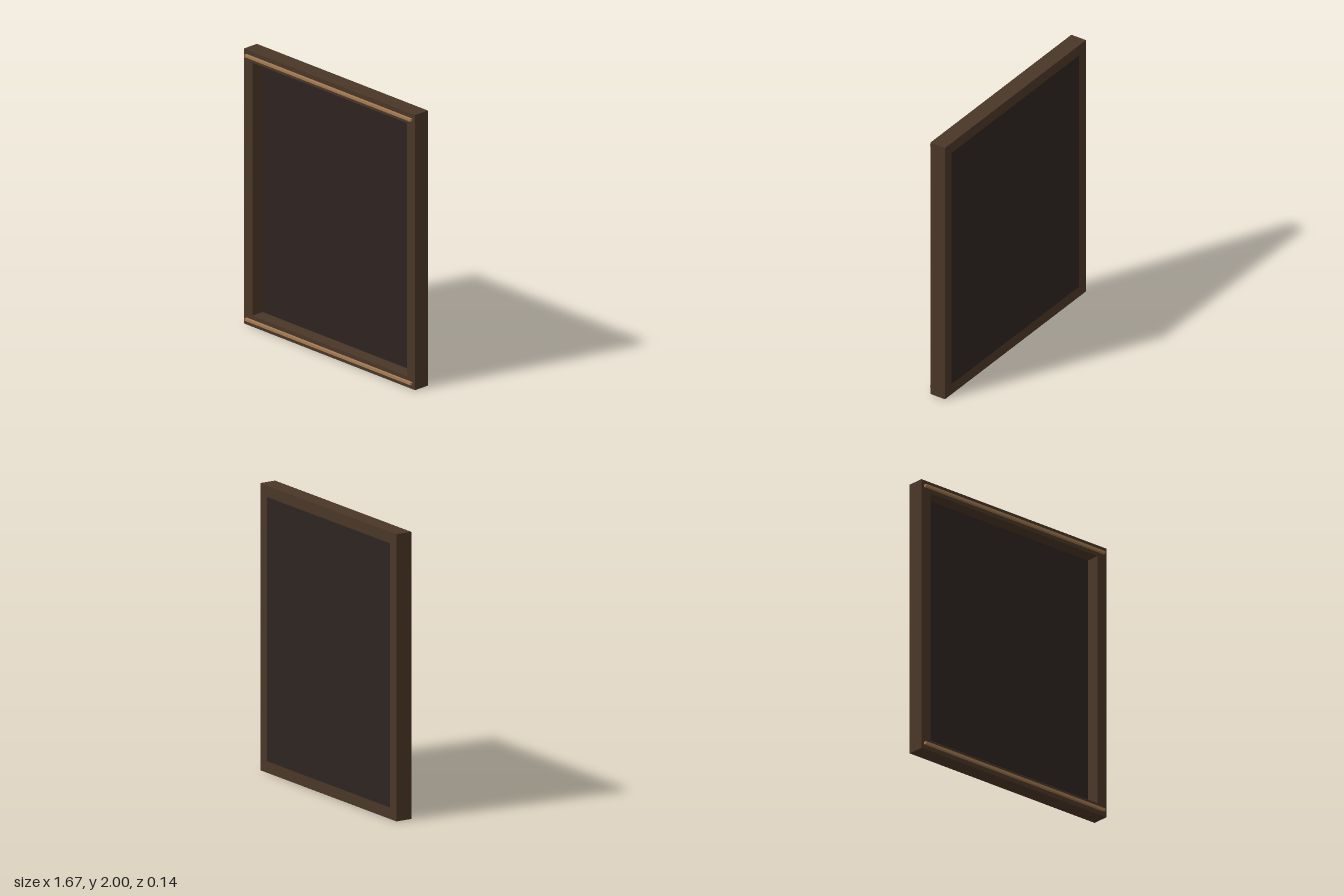
import * as THREE from 'three';

const WIDTH = 1.67, HEIGHT = 2, BORDER = 0.08;
const BACK = -0.07, FRONT = 0.05;

function rectangle(PathType, w, h) {
  const x = w / 2, y = h / 2;
  return new PathType([
    new THREE.Vector2(-x, -y), new THREE.Vector2(x, -y),
    new THREE.Vector2(x, y), new THREE.Vector2(-x, y),
  ]);
}

export function createModel() {
  const model = new THREE.Group();
  model.name = 'framedPanel';

  const wood = new THREE.MeshStandardMaterial({ color: 0x4a3728 });
  const dark = new THREE.MeshStandardMaterial({ color: 0x2e2420 });
  const brass = new THREE.MeshStandardMaterial({ color: 0xa67c52 });

  const add = (name, geometry, material, x, y, z) => {
    const mesh = new THREE.Mesh(geometry, material);
    mesh.name = name;
    mesh.position.set(x, y, z);
    model.add(mesh);
  };

  // Rectangular frame with an open middle
  const openW = WIDTH - 2 * BORDER, openH = HEIGHT - 2 * BORDER;
  const outline = rectangle(THREE.Shape, WIDTH, HEIGHT);
  outline.holes.push(rectangle(THREE.Path, openW, openH));
  const frame = new THREE.ExtrudeGeometry(outline, { depth: FRONT - BACK, bevelEnabled: false });
  add('frame', frame, wood, 0, HEIGHT / 2, BACK);

  // Thin panel set flush with the back of the frame
  const thickness = 0.024;
  add('backPanel', new THREE.BoxGeometry(openW, openH, thickness), dark, 0, HEIGHT / 2, BACK + thickness / 2);

  // Slim trim strips along the top and bottom rails
  const strip = new THREE.BoxGeometry(1.62, 0.018, 0.02);
  add('topTrim', strip, brass, 0, HEIGHT - 0.042, FRONT + 0.01);
  add('bottomTrim', strip, brass, 0, 0.042, FRONT + 0.01);

  return model;
}
